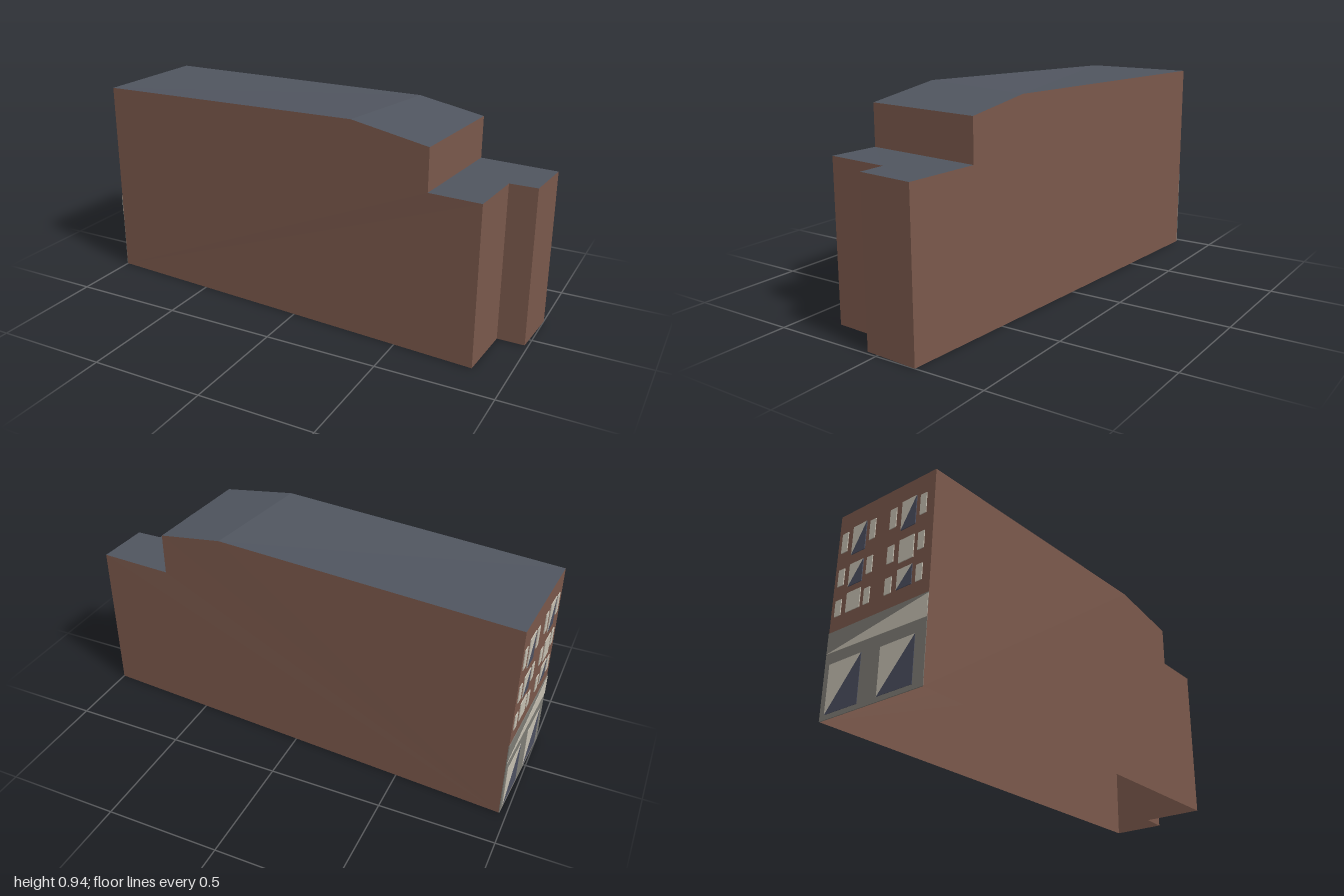
import * as THREE from 'three';

const mat = (name, color) => {
  const m = new THREE.MeshStandardMaterial({ color, side: THREE.DoubleSide });
  m.name = name;
  return m;
};

// Flat polygons, each triangulated as a fan from its first corner
function fanMesh(name, material, polygons) {
  const pos = [];
  for (const p of polygons)
    for (let i = 1; i < p.length - 1; i++) pos.push(...p[0], ...p[i], ...p[i + 1]);
  const g = new THREE.BufferGeometry();
  g.setAttribute('position', new THREE.Float32BufferAttribute(pos, 3));
  g.computeVertexNormals();
  const mesh = new THREE.Mesh(g, material);
  mesh.name = name;
  return mesh;
}

export function createModel() {
  const brick = mat('brick', 0x7a584b);
  const slate = mat('slate', 0x50555f);
  const stone = mat('pale stone', 0xc6c0b2);
  const grey = mat('grey shopfront', 0x7e7c75);
  const glass = mat('dark glass', 0x4c4f60);
  const model = new THREE.Group();
  model.name = 'terraceBuilding';

  // Footprint corners [x, z], with a notch at the rear end
  const A = [-0.97, -0.33], F = [-1, 0.2], E = [0.85, 0.33];
  const D = [0.865, 0.055], C = [0.985, 0.055], B = [1, -0.19];
  const stepF = [0.625, 0.315], stepB = [0.66, -0.213];
  const ridgeF = [0.28, 0.291], ridgeB = [0.36, -0.235];
  const at = ([x, z], y) => [x, y, z];

  // Roof corners
  const aT = at(A, 0.905), fT = at(F, 0.9), rF = at(ridgeF, 0.942), rB = at(ridgeB, 0.931);
  const sF = at(stepF, 0.885), sB = at(stepB, 0.881);
  const lF = at(stepF, 0.702), lB = at(stepB, 0.696);
  const eT = at(E, 0.702), dT = at(D, 0.698), cT = at(C, 0.698), bT = at(B, 0.695);

  model.add(
    fanMesh('frontWall', brick, [[at(F, 0), at(E, 0), eT, lF, sF, rF, fT]]),
    fanMesh('backWall', brick, [[at(A, 0), aT, rB, sB, lB, bT, at(B, 0)]]),
    fanMesh('rearEndWalls', brick, [
      [at(E, 0), at(D, 0), dT, eT],
      [at(D, 0), at(C, 0), cT, dT],
      [at(C, 0), at(B, 0), bT, cT],
    ]),
    fanMesh('stepWall', brick, [[lF, lB, sB, sF]]),
    fanMesh('streetWall', brick, [[at(A, 0), at(F, 0), fT, aT]]),
    fanMesh('mainRoof', slate, [[fT, rF, rB, aT], [rF, sF, sB, rB]]),
    fanMesh('lowerRoof', slate, [[dT, cT, bT, lB, lF, eT]]),
  );

  // Street facade: local x runs along the wall from back to front, y is up
  const facade = new THREE.Group();
  facade.name = 'streetFacade';
  const dx = F[0] - A[0], dz = F[1] - A[1], width = Math.hypot(dx, dz);
  facade.position.set(A[0], 0, A[1]);
  facade.rotation.y = Math.atan2(-dz, dx);
  model.add(facade);

  // Thin plate set through the wall, so that it shows on both sides
  function plate(name, material, corners, depth) {
    const shape = new THREE.Shape(corners.map(([u, v]) => new THREE.Vector2(u * width, v)));
    const g = new THREE.ExtrudeGeometry(shape, { depth, bevelEnabled: false });
    g.translate(0, 0, -depth / 2);
    const mesh = new THREE.Mesh(g, material);
    mesh.name = name;
    facade.add(mesh);
  }
  const rect = (u0, u1, v0, v1) => [[u0, v0], [u1, v0], [u1, v1], [u0, v1]];
  // Pane with a pale upper half and a dark lower half along the diagonal
  function splitPane(name, u0, u1, v0, v1) {
    plate(name + 'Light', stone, [[u0, v0], [u1, v1], [u0, v1]], 0.007);
    plate(name + 'Dark', glass, [[u0, v0], [u1, v0], [u1, v1]], 0.007);
  }

  // Shopfront
  plate('shopfront', grey, rect(0, 1, 0, 0.365), 0.004);
  plate('fascia', stone, [[0, 0.275], [1, 0.265], [1, 0.36]], 0.007);
  splitPane('shopWindow', 0.05, 0.38, 0.02, 0.225);
  splitPane('shopDoor', 0.57, 0.9, 0.02, 0.215);

  // Three rows of windows: narrow, wide, narrow in each of two bays
  const rows = [
    { narrow: [0.43, 0.5], wide: [0.43, 0.515], split: [false, true] },
    { narrow: [0.565, 0.64], wide: [0.545, 0.645], split: [true, false] },
    { narrow: [0.72, 0.81], wide: [0.69, 0.82], split: [true, true] },
  ];
  for (const { narrow, wide, split } of rows)
    [0.04, 0.56].forEach((u, bay) => {
      plate('narrowWindow', stone, rect(u, u + 0.065, ...narrow), 0.007);
      plate('narrowWindow', stone, rect(u + 0.305, u + 0.365, ...narrow), 0.007);
      if (split[bay]) splitPane('wideWindow', u + 0.12, u + 0.265, ...wide);
      else plate('wideWindow', stone, rect(u + 0.12, u + 0.265, ...wide), 0.007);
    });

  return model;
}
